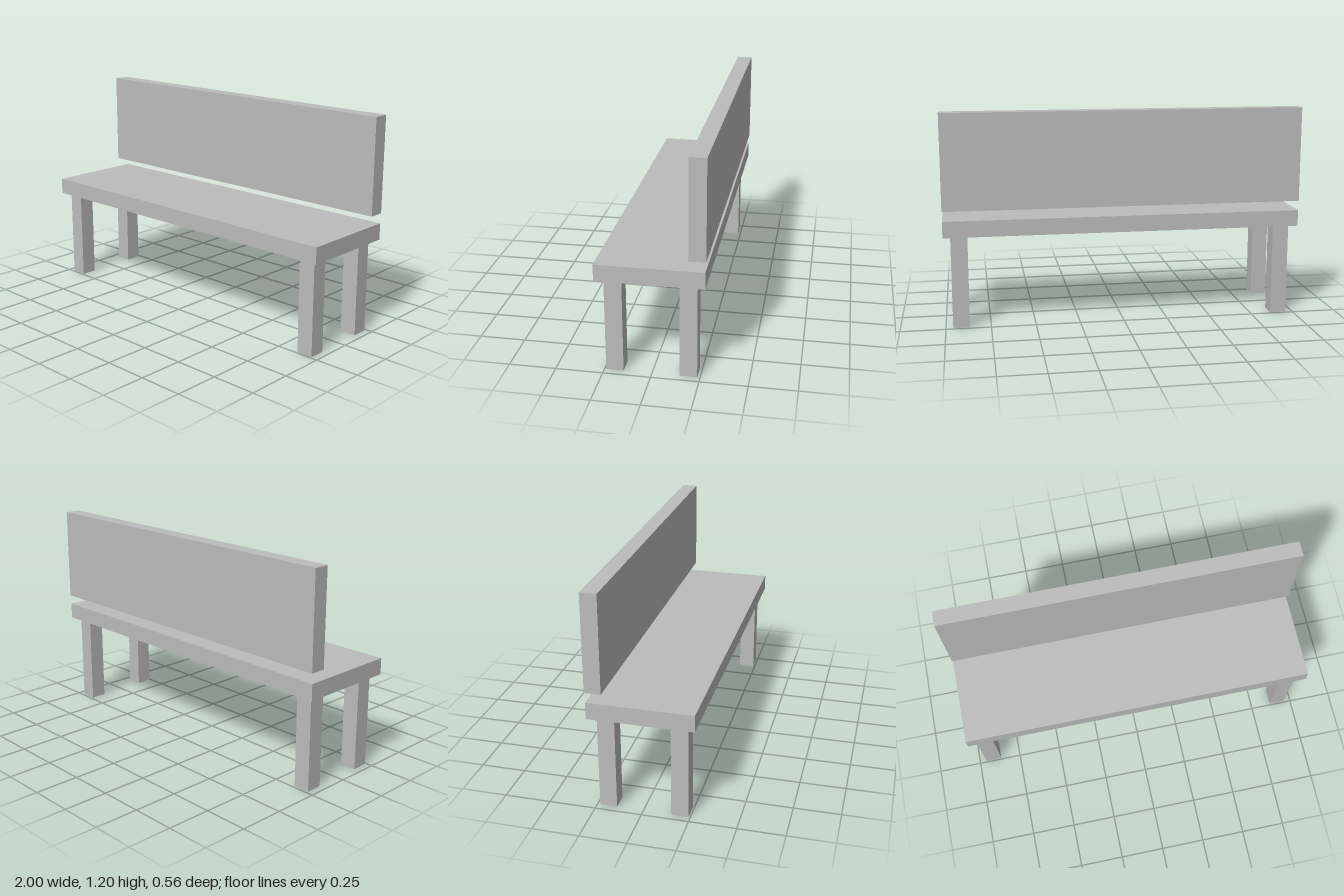
import * as THREE from 'three';

export function createModel() {
  const bench = new THREE.Group();
  bench.name = 'bench';
  const grey = new THREE.MeshStandardMaterial({ color: 0xbcbcbc });
  grey.name = 'grey';

  // Adds a box spanning the given ranges on each axis
  function addBox(name, [x0, x1], [y0, y1], [z0, z1]) {
    const mesh = new THREE.Mesh(new THREE.BoxGeometry(x1 - x0, y1 - y0, z1 - z0), grey);
    mesh.position.set((x0 + x1) / 2, (y0 + y1) / 2, (z0 + z1) / 2);
    mesh.name = name;
    bench.add(mesh);
  }

  // Seat plank and the backrest floating above its rear edge
  addBox('seat', [-1, 1], [0.523, 0.614], [-0.278, 0.282]);
  addBox('backrest', [-1, 1], [0.669, 1.2], [-0.282, -0.194]);

  // Four square legs
  for (const [side, x] of [['left', 0.914], ['right', -0.914]]) {
    for (const [end, z] of [['Front', 0.195], ['Back', -0.189]]) {
      addBox(`${side}${end}Leg`, [x - 0.046, x + 0.046], [0, 0.523], [z - 0.046, z + 0.046]);
    }
  }

  return bench;
}
